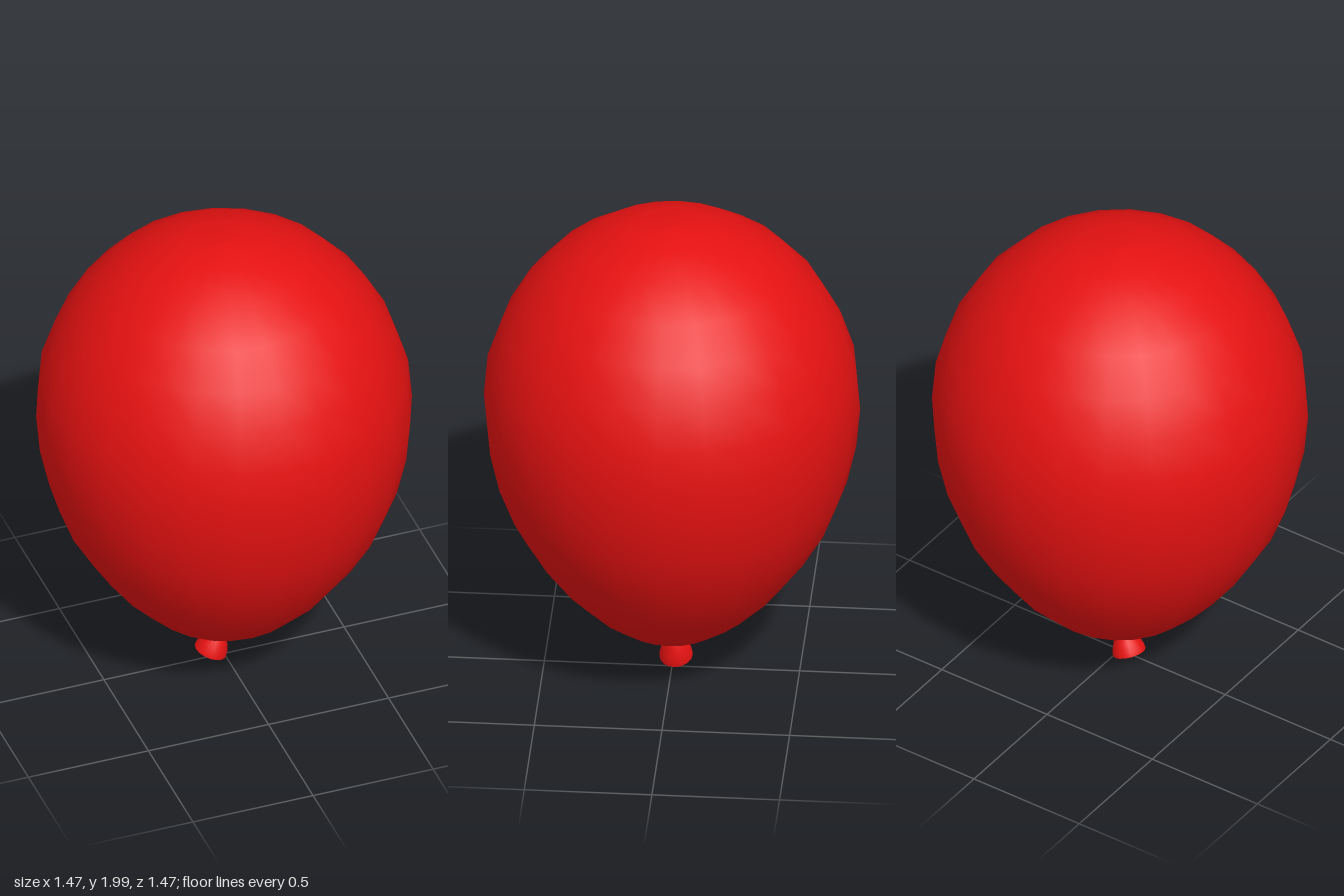
import * as THREE from 'three';

const SIDES = 24;

// Lathe from [radius, height] pairs listed bottom to top
function lathe(name, profile, sides, material) {
  const points = profile.map(([r, y]) => new THREE.Vector2(r, y));
  const mesh = new THREE.Mesh(new THREE.LatheGeometry(points, sides), material);
  mesh.name = name;
  return mesh;
}

export function createModel() {
  const group = new THREE.Group();
  group.name = 'balloon';
  const rubber = new THREE.MeshStandardMaterial({ color: 0xe51111 });
  rubber.name = 'red rubber';

  // Inflated body
  group.add(lathe('body', [
    [0, 0.17], [0.1, 0.18], [0.205, 0.22], [0.315, 0.302], [0.435, 0.424],
    [0.54, 0.568], [0.626, 0.717], [0.685, 0.874], [0.722, 1.04], [0.737, 1.21],
    [0.722, 1.385], [0.667, 1.55], [0.585, 1.697], [0.472, 1.825],
    [0.328, 1.924], [0.168, 1.985], [0, 2],
  ], SIDES, rubber));

  // Short neck between body and knot
  const neck = new THREE.Mesh(new THREE.CylinderGeometry(0.028, 0.024, 0.05, 12), rubber);
  neck.name = 'neck';
  neck.position.set(0.004, 0.16, 0);
  group.add(neck);

  // Tied knot
  const knot = new THREE.Mesh(new THREE.SphereGeometry(0.035, 12, 8), rubber);
  knot.name = 'knot';
  knot.scale.y = 0.9;
  knot.position.set(-0.002, 0.142, 0);
  group.add(knot);

  // Flared tail, tilted to the side, with a shallow rounded mouth
  const tail = new THREE.Group();
  tail.name = 'tail';
  tail.add(lathe('flare', [
    [0.066, 0], [0.064, 0.018], [0.053, 0.048], [0.036, 0.08], [0.022, 0.102], [0, 0.115],
  ], 16, rubber));
  tail.add(lathe('mouth', [[0, -0.008], [0.045, -0.006], [0.066, 0]], 16, rubber));
  tail.position.set(-0.052, 0.034, -0.012);
  tail.rotation.set(0.08, 0, -0.345);
  group.add(tail);

  return group;
}
